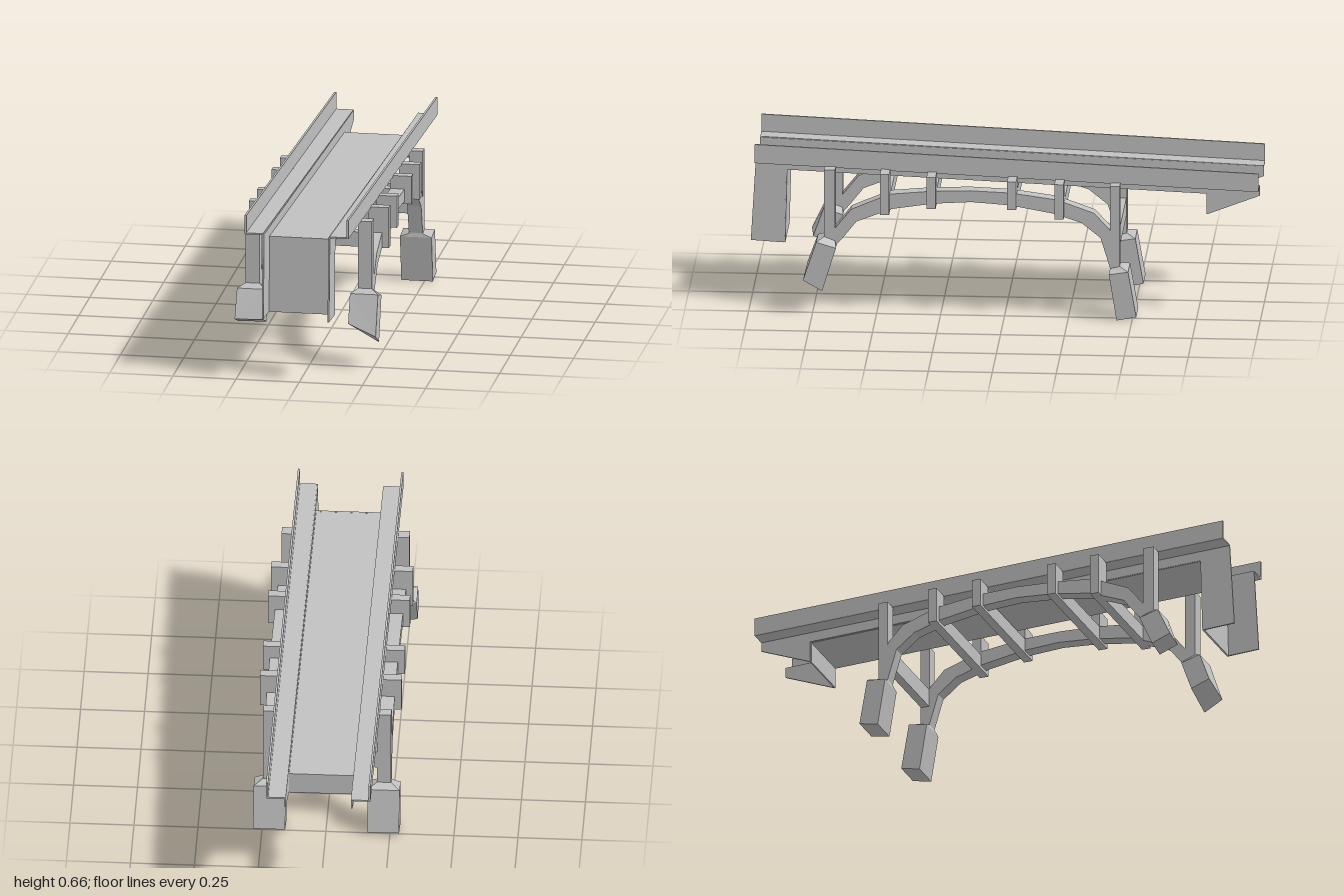
import * as THREE from 'three';

const concrete = new THREE.MeshStandardMaterial({ color: 0xc0c0c0, side: THREE.DoubleSide });
concrete.name = 'grey concrete';

// Slight skew of the whole bridge in plan
const skew = (z) => -0.006 - 0.009 * z;
// Height of the sloping ledge at z
const ledgeY = (z) => 0.59 - 0.0381 * (0.98 - z);

// Flat-faced solid through a row of four-cornered cross-sections
function loft(rings) {
  const p = [];
  const quad = (a, b, c, d) => p.push(...a, ...b, ...c, ...a, ...c, ...d);
  for (let i = 0; i < rings.length - 1; i++) {
    for (let k = 0; k < 4; k++) {
      const n = (k + 1) % 4;
      quad(rings[i][k], rings[i][n], rings[i + 1][n], rings[i + 1][k]);
    }
  }
  const e = rings[rings.length - 1], s = rings[0];
  quad(s[3], s[2], s[1], s[0]);
  quad(e[0], e[1], e[2], e[3]);
  // Turn the faces outwards if the sections ran the other way
  let volume = 0;
  const v = [0, 1, 2].map(() => new THREE.Vector3());
  for (let i = 0; i < p.length; i += 9) {
    v.forEach((q, k) => q.fromArray(p, i + k * 3));
    volume += v[0].dot(v[1].clone().cross(v[2]));
  }
  if (volume < 0) {
    for (let i = 0; i < p.length; i += 9) {
      for (let k = 3; k < 6; k++) [p[i + k], p[i + k + 3]] = [p[i + k + 3], p[i + k]];
    }
  }
  const g = new THREE.BufferGeometry();
  g.setAttribute('position', new THREE.Float32BufferAttribute(p, 3));
  return g;
}

// Upright section at z, and level section at y
const upright = (x0, x1, y0, y1, z) => [[x0, y0, z], [x1, y0, z], [x1, y1, z], [x0, y1, z]];
const level = (x0, x1, z0, z1, y, y1 = y) => [[x0, y, z0], [x1, y, z0], [x1, y1, z1], [x0, y1, z1]];
const block = (x0, x1, y0, y1, z0, z1) => loft([upright(x0, x1, y0, y1, z0), upright(x0, x1, y0, y1, z1)]);

export function createModel() {
  const group = new THREE.Group();
  const add = (name, geometry) => {
    const pos = geometry.attributes.position;
    for (let i = 0; i < pos.count; i++) pos.setX(i, pos.getX(i) + skew(pos.getZ(i)));
    geometry.computeVertexNormals();
    const mesh = new THREE.Mesh(geometry, concrete);
    mesh.name = name;
    group.add(mesh);
  };

  // Road deck and the plates closing its two ends
  add('deck', loft([upright(-0.132, 0.132, 0.54, 0.548, 0.865), upright(-0.128, 0.128, 0.477, 0.485, -0.785)]));
  add('frontAbutment', loft([level(-0.132, 0.132, 0.865, 0.873, 0.243), level(-0.132, 0.132, 0.857, 0.865, 0.548)]));
  add('rearEndPlate', block(-0.128, 0.128, 0.395, 0.485, -0.787, -0.781));

  // Side profile of the inner wall with its front and rear wings, as z, y
  const wallProfile = [[0.98, 0.59], [1.0, 0.25], [0.87, 0.243], [0.862, 0.543], [-0.785, 0.48],
    [-0.785, 0.395], [-0.99, 0.475], [-0.99, 0.515]];
  // Arch stations: top z, y then bottom z, y
  const arch = [[0.705, 0.29, 0.662, 0.27], [0.66, 0.345, 0.635, 0.30], [0.6, 0.42, 0.58, 0.37],
    [0.45, 0.485, 0.44, 0.425], [0.29, 0.5, 0.28, 0.45], [0.135, 0.506, 0.13, 0.46],
    [-0.025, 0.5, -0.02, 0.45], [-0.205, 0.476, -0.19, 0.42], [-0.35, 0.425, -0.3, 0.385],
    [-0.41, 0.36, -0.375, 0.325], [-0.45, 0.2, -0.413, 0.2]];
  // Spandrel posts: z and bottom of the arch there
  const posts = [[0.468, 0.408], [0.286, 0.437], [-0.029, 0.44], [-0.214, 0.405]];

  for (const s of [-1, 1]) {
    const side = s > 0 ? 'left' : 'right';

    // Inner wall, ledge and parapet
    const wall = new THREE.ExtrudeGeometry(
      new THREE.Shape(wallProfile.map(([z, y]) => new THREE.Vector2(z, y))),
      { depth: 0.006, bevelEnabled: false });
    wall.rotateY(-Math.PI / 2).translate(s * 0.13 + 0.003, 0, 0);
    add(side + 'InnerWall', wall);
    add(side + 'Ledge', loft([
      upright(s * 0.132, s * 0.205, 0.586, 0.592, 0.98),
      upright(s * 0.128, s * 0.203, 0.511, 0.517, -0.99)]));
    add(side + 'Parapet', loft([
      upright(s * 0.198, s * 0.206, 0.587, 0.662, 0.98),
      upright(s * 0.196, s * 0.204, 0.512, 0.585, -0.99)]));

    // Arch rib
    const xi = s * 0.195, xo = s * 0.25;
    add(side + 'Arch', loft(arch.map(([zt, yt, zb, yb]) =>
      [[xi, yt, zt], [xo, yt, zt], [xo, yb, zb], [xi, yb, zb]])));

    // Posts on the arch
    for (const [z, y] of posts) {
      add(side + 'SpandrelPost', block(xi, s * 0.277, y, ledgeY(z) + 0.002, z - 0.018, z + 0.018));
    }
    add(side + 'FrontPost', block(xi, xo, 0.285, ledgeY(0.685), 0.663, 0.706));
    add(side + 'RearPost', block(xi, xo, 0.2, ledgeY(-0.43), -0.45, -0.412));

    // Front foot, leaning forward; the left one has a slanted base
    const f = s > 0 ? 1 : 0;
    const fi = s * 0.168, fo = s * 0.279;
    add(side + 'FrontFoot', loft([
      level(xi, xo, 0.706, 0.663, 0.306, 0.29),
      level(fi, fo, 0.735, 0.658, 0.291, 0.268),
      [[fi, 0.18, 0.775], [fo, 0.18 - 0.045 * f, 0.787], [fo, 0.15 - 0.058 * f, 0.712], [fi, 0.15, 0.7]]]));

    // Rear foot, leaning backward
    const ri = s * 0.16, ro = s * 0.285;
    add(side + 'RearFoot', loft([
      level(xi, xo, -0.412, -0.45, 0.2, 0.21),
      level(ri, ro, -0.41, -0.485, 0.186, 0.198),
      level(ri, ro, -0.44, -0.517, 0, 0.015)]));
  }

  // Cross beams between the two arches
  for (const [z, y] of posts) {
    add('crossBeam', block(-0.2, 0.2, y, y + 0.06, z - 0.018, z + 0.018));
  }
  add('rearCrossBeam', block(-0.2, 0.2, 0.28, 0.353, -0.448, -0.414));

  return group;
}
